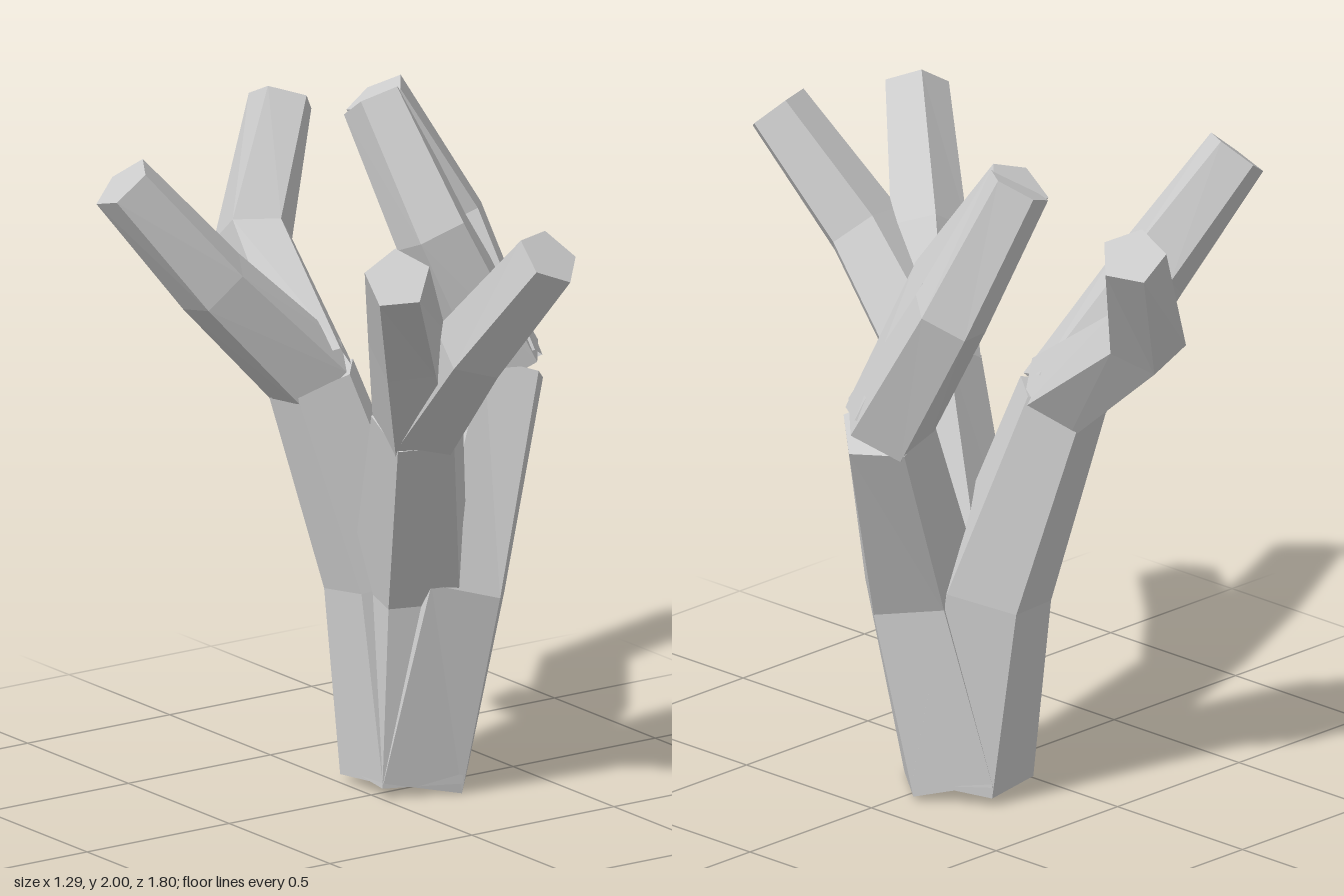
import * as THREE from 'three';

const SIDES = 5;

// Five-sided tube through [x, y, z, radius] stations, open at the foot and capped at the tip
function limbGeometry(stations) {
  const pts = stations.map(s => new THREE.Vector3(s[0], s[1], s[2]));
  const dirs = pts.slice(1).map((p, i) => p.clone().sub(pts[i]).normalize());
  const rings = pts.map((p, i) => {
    const t = new THREE.Vector3()
      .add(dirs[Math.max(i - 1, 0)])
      .add(dirs[Math.min(i, dirs.length - 1)])
      .normalize();
    const u = new THREE.Vector3(1, 0, 0).addScaledVector(t, -t.x).normalize();
    const v = u.clone().cross(t);
    return Array.from({ length: SIDES }, (_, k) => {
      const a = 0.07 + (k / SIDES) * Math.PI * 2, r = stations[i][3];
      return p.clone().addScaledVector(u, r * Math.cos(a)).addScaledVector(v, r * Math.sin(a));
    });
  });

  const out = [];
  const tri = (...c) => c.forEach(p => out.push(p.x, p.y, p.z));
  const last = rings.length - 1;
  for (let k = 0; k < SIDES; k++) {
    const n = (k + 1) % SIDES;
    for (let i = 0; i < last; i++) {
      const a = rings[i][k], b = rings[i][n], c = rings[i + 1][n], d = rings[i + 1][k];
      tri(a, d, c);
      tri(a, c, b);
    }
    tri(pts[last], rings[last][n], rings[last][k]);
  }
  const g = new THREE.BufferGeometry();
  g.setAttribute('position', new THREE.Float32BufferAttribute(out, 3));
  g.computeVertexNormals();
  return g;
}

// Three limbs share one foot; each forks into two bent branches
const BASE = [0.174, 0.038, -0.054, 0.202];
const LIMBS = [
  {
    name: 'leftLimb', mid: [0.255, 0.6, 0.05, 0.178], end: [0.505, 1.18, -0.06, 0.14],
    forks: [
      [[0.32, 1.59, -0.135], [0.275, 1.94, -0.37]],
      [[0.48, 1.57, -0.29], [0.295, 1.95, -0.39]],
    ],
  },
  {
    name: 'frontLimb', mid: [0.16, 0.61, -0.015, 0.178], end: [0.0, 1.17, 0.24, 0.14],
    forks: [
      [[-0.18, 1.465, 0.44], [-0.41, 1.78, 0.71]],
      [[-0.04, 1.48, 0.56], [0.04, 1.8, 0.83]],
    ],
  },
  {
    name: 'backLimb', mid: [0.135, 0.6, -0.125, 0.178], end: [-0.02, 1.185, -0.255, 0.14],
    forks: [
      [[0.07, 1.5, -0.68], [0.268, 1.84, -0.82]],
      [[-0.33, 1.505, -0.31], [-0.58, 1.825, -0.415]],
    ],
  },
];

export function createModel() {
  const model = new THREE.Group();
  model.name = 'bareTree';
  const bark = new THREE.MeshStandardMaterial({
    color: 0xcccccc, flatShading: true, side: THREE.DoubleSide,
  });
  bark.name = 'pale grey bark';

  const add = (name, stations) => {
    const mesh = new THREE.Mesh(limbGeometry(stations), bark);
    mesh.name = name;
    model.add(mesh);
  };

  for (const { name, mid, end, forks } of LIMBS) {
    add(name, [BASE, mid, end]);
    forks.forEach(([bend, tip], i) => add(`${name}Branch${i + 1}`, [
      [end[0], end[1], end[2], 0.138],
      [...bend, 0.119],
      [...tip, 0.098],
    ]));
  }
  return model;
}
